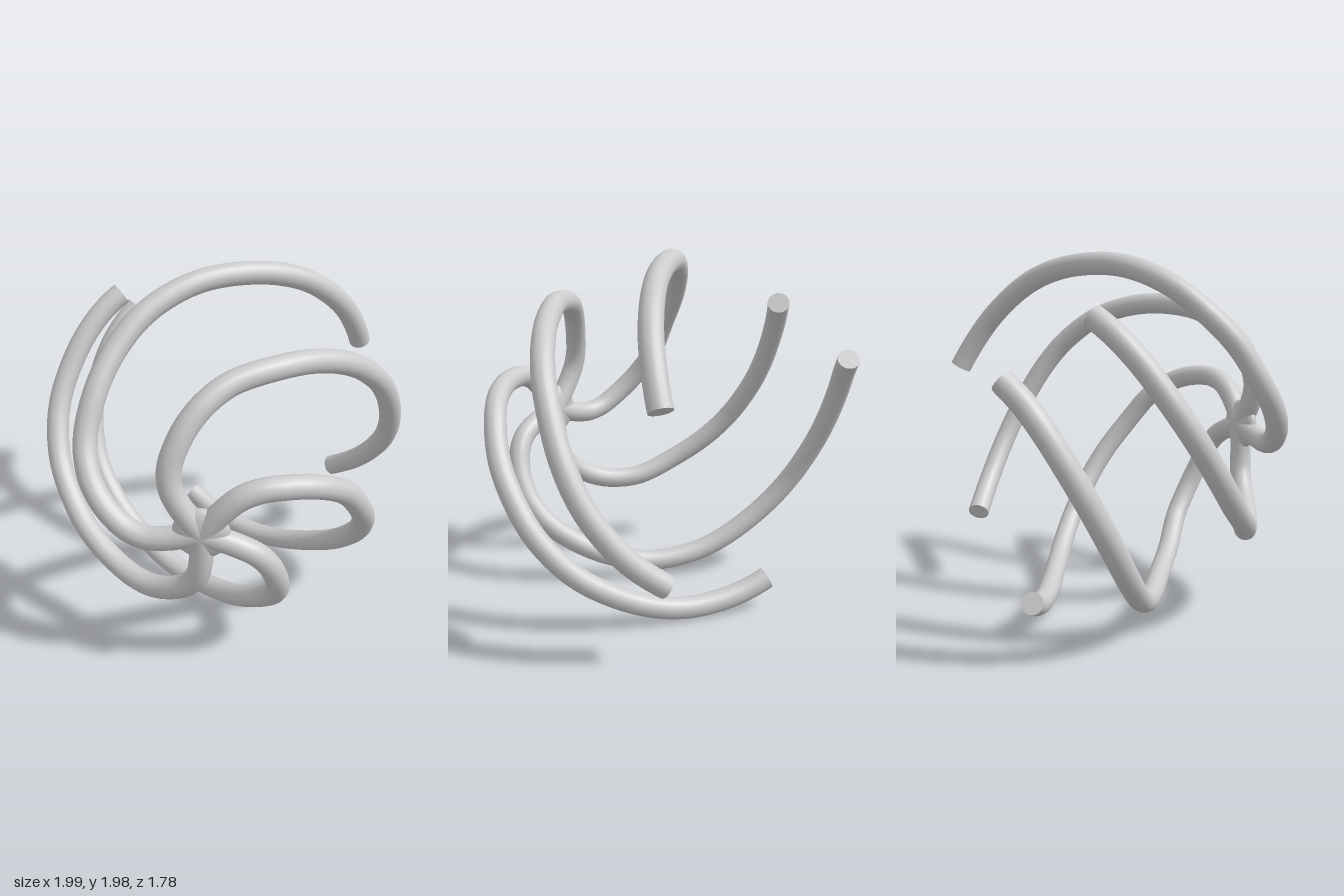
import * as THREE from 'three';

const TUBE = 0.061;
const CENTRE_Y = 1.0;

// One arm as [radius from the axis, angle in degrees, z], swirling from the hub to the back
const PATH = [
  [0, 54, 0.825], [0.1, 54, 0.825], [0.2, 52, 0.822], [0.29, 48.5, 0.812], [0.38, 41.5, 0.79],
  [0.46, 33.5, 0.758], [0.535, 26.5, 0.715], [0.61, 19, 0.655], [0.69, 9, 0.56],
  [0.78, -6.5, 0.425], [0.85, -18.5, 0.285], [0.905, -30, 0.15], [0.935, -42.5, 0.01],
  [0.94, -53.5, -0.105], [0.94, -69, -0.25], [0.93, -82, -0.37], [0.895, -96.5, -0.5],
  [0.855, -108.5, -0.6], [0.815, -122, -0.7], [0.785, -132, -0.77], [0.76, -141, -0.84],
];

// z at which each arm is cut off, counter-clockwise from the upper right one
const ARM_ENDS = [-0.6, -0.63, -0.68, -0.39, -0.84];

function armCurve(turn, endZ) {
  const points = PATH.map(([r, deg, z]) => {
    const a = THREE.MathUtils.degToRad(deg) + turn;
    return new THREE.Vector3(r * Math.cos(a), CENTRE_Y + r * Math.sin(a), z);
  });
  const fine = new THREE.CatmullRomCurve3(points, false, 'centripetal').getSpacedPoints(150);
  return new THREE.CatmullRomCurve3(fine.filter((p) => p.z >= endZ - 0.005));
}

export function createModel() {
  const group = new THREE.Group();
  const material = new THREE.MeshStandardMaterial({ color: 0xcccccc });

  // Five swirling arms, each closed by a flat cap
  ARM_ENDS.forEach((endZ, i) => {
    const arm = new THREE.Group();
    arm.name = `swirlArm${i + 1}`;
    const curve = armCurve((i * Math.PI * 2) / 5, endZ);

    const tube = new THREE.Mesh(new THREE.TubeGeometry(curve, 110, TUBE, 18, false), material);
    tube.name = 'armTube';

    const cap = new THREE.Mesh(new THREE.CircleGeometry(TUBE, 18), material);
    cap.name = 'armEndCap';
    cap.position.copy(curve.getPoint(1));
    cap.quaternion.setFromUnitVectors(new THREE.Vector3(0, 0, 1), curve.getTangent(1));

    arm.add(tube, cap);
    group.add(arm);
  });

  // Flattened hub that webs the arms together
  const hub = new THREE.Mesh(new THREE.SphereGeometry(1, 40, 20), material);
  hub.name = 'hub';
  hub.scale.set(0.145, 0.145, 0.058);
  hub.position.set(0, CENTRE_Y, 0.825);
  group.add(hub);

  return group;
}
